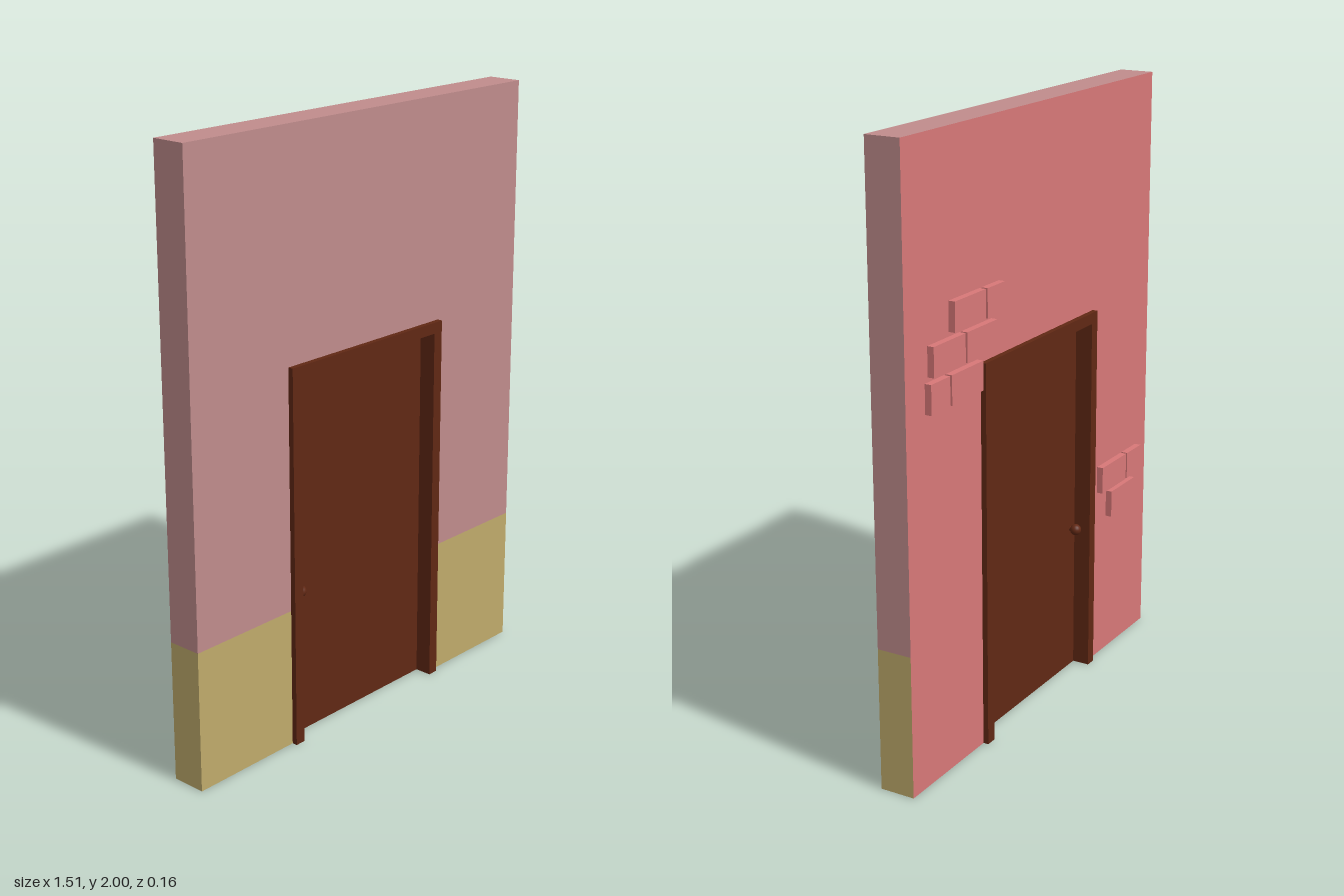
import * as THREE from 'three';

const paint = (color) => new THREE.MeshStandardMaterial({ color });

export function createModel() {
  const model = new THREE.Group();
  const pink = paint(0xc08c8c);
  const yellow = paint(0xc0ab6b);
  const red = paint(0xd87878);
  const brown = paint(0x602814);

  // Box given by its extents on each axis
  function block(name, [x0, x1], [y0, y1], [z0, z1], material, parent = model) {
    const mesh = new THREE.Mesh(new THREE.BoxGeometry(x1 - x0, y1 - y0, z1 - z0), material);
    mesh.position.set((x0 + x1) / 2, (y0 + y1) / 2, (z0 + z1) / 2);
    mesh.name = name;
    parent.add(mesh);
    return mesh;
  }

  const W = 0.755, H = 2, dado = 0.467;
  const doorW = 0.352, doorH = 1.268, trim = 0.037;
  const wallZ = [-0.057, 0.06];

  // Wall around the doorway: painted inside face and edges, bare red back face
  const wall = new THREE.Group();
  wall.name = 'wall';
  model.add(wall);
  const faces = (m) => [m, m, m, m, m, red];
  for (const [side, x] of [['right', [-W, -doorW]], ['left', [doorW, W]]]) {
    block(side + 'LowerWall', x, [0, dado], wallZ, faces(yellow), wall);
    block(side + 'UpperWall', x, [dado, doorH], wallZ, faces(pink), wall);
  }
  block('wallAboveDoor', [-W, W], [doorH, H], wallZ, faces(pink), wall);

  // Door frame, running through the wall and standing proud on both sides
  const inW = doorW - trim, inH = doorH - trim;
  const outline = new THREE.Shape([
    [-doorW, 0], [-inW, 0], [-inW, inH], [inW, inH],
    [inW, 0], [doorW, 0], [doorW, doorH], [-doorW, doorH],
  ].map(([x, y]) => new THREE.Vector2(x, y)));
  const frame = new THREE.Mesh(
    new THREE.ExtrudeGeometry(outline, { depth: 0.153, bevelEnabled: false }), brown);
  frame.position.z = -0.075;
  frame.name = 'doorFrame';
  model.add(frame);

  // Recessed door leaf
  block('door', [-inW, inW], [0, inH], [-0.016, 0.02], brown);

  // A knob and its short stem on each face of the door
  for (const [name, s] of [['frontKnob', 1], ['backKnob', -1]]) {
    const handle = new THREE.Group();
    handle.name = name;
    handle.position.set(-0.287, 0.508, 0.002);
    const knob = new THREE.Mesh(new THREE.SphereGeometry(0.019, 20, 14), brown);
    knob.position.z = s * 0.038;
    knob.name = 'knob';
    const stem = new THREE.Mesh(new THREE.CylinderGeometry(0.009, 0.009, 0.03, 16), brown);
    stem.rotation.x = Math.PI / 2;
    stem.position.z = s * 0.022;
    stem.name = 'knobStem';
    handle.add(knob, stem);
    model.add(handle);
  }

  // Exposed bricks on the back: bottom edge of the row, then x extents
  const bricks = new THREE.Group();
  bricks.name = 'bricks';
  model.add(bricks);
  const rows = [
    [1.405, [0.355, 0.525], [0.245, 0.345]],
    [1.298, [0.469, 0.639], [0.29, 0.46]],
    [1.19, [0.555, 0.655], [0.372, 0.545]],
    [0.61, [-0.57, -0.398], [-0.68, -0.578]],
    [0.503, [-0.635, -0.465]],
  ];
  for (const [y, ...spans] of rows)
    for (const x of spans) block('brick', x, [y, y + 0.093], [-0.079, -0.05], red, bricks);

  return model;
}
